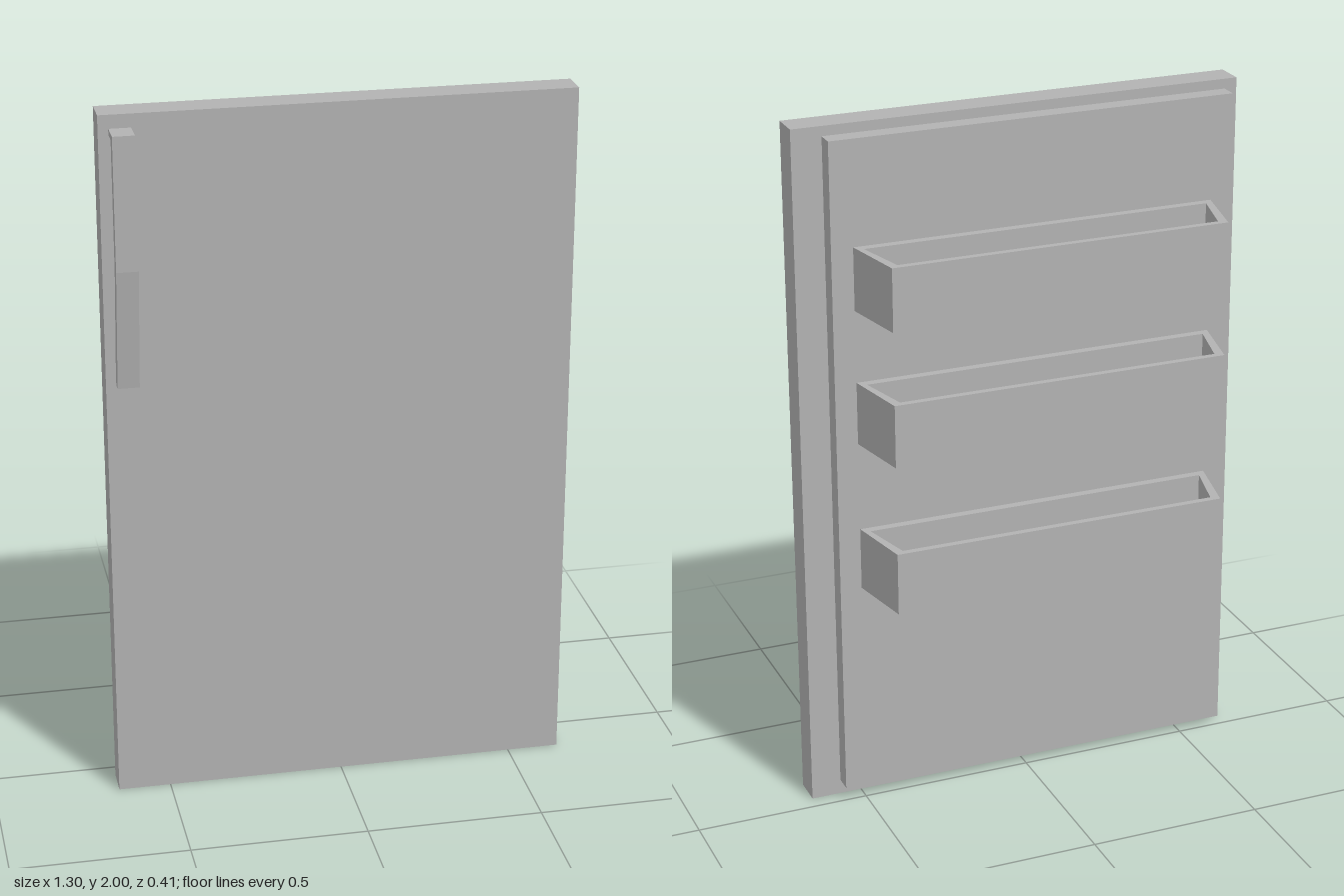
import * as THREE from 'three';

const grey = new THREE.MeshStandardMaterial({ color: 0xb2b2b2 });
grey.name = 'grey';

function add(parent, name, geometry) {
  const mesh = new THREE.Mesh(geometry, grey);
  mesh.name = name;
  parent.add(mesh);
  return mesh;
}

// Box given by its minimum and maximum corners
function slab(x0, x1, y0, y1, z0, z1) {
  return new THREE.BoxGeometry(x1 - x0, y1 - y0, z1 - z0)
    .translate((x0 + x1) / 2, (y0 + y1) / 2, (z0 + z1) / 2);
}

const points = (list) => list.map(([x, y]) => new THREE.Vector2(x, y));
const extrude = (shape, depth) => new THREE.ExtrudeGeometry(shape, { depth, bevelEnabled: false });

// Tapered plan outlines of a bin, as x and depth behind the centre (-z)
const outer = [[-0.552, 0.007], [0.5, 0.007], [0.462, 0.203], [-0.511, 0.203]];
const inner = [[-0.527, 0.031], [0.478, 0.031], [0.44, 0.184], [-0.489, 0.184]];

// Open-topped shelf bin: floor slab plus a ring of walls
function makeBin(bottom, height) {
  const bin = new THREE.Group();
  bin.name = 'shelfBin';
  const floorThickness = 0.02;
  add(bin, 'binFloor', extrude(new THREE.Shape(points(outer)), floorThickness).rotateX(-Math.PI / 2));
  const ring = new THREE.Shape(points(outer));
  ring.holes.push(new THREE.Path(points(inner)));
  add(bin, 'binWalls', extrude(ring, height - floorThickness).rotateX(-Math.PI / 2))
    .position.y = floorThickness;
  bin.position.y = bottom;
  return bin;
}

export function createModel() {
  const door = new THREE.Group();
  door.name = 'fridgeDoor';

  // Outer door and raised inner liner
  add(door, 'doorPanel', slab(-0.648, 0.648, 0, 2, 0.044, 0.131));
  add(door, 'innerLiner', slab(-0.612, 0.562, 0.043, 1.972, -0.007, 0.044));

  // Three bins on the back
  for (const bottom of [0.67, 1.106, 1.493]) door.add(makeBin(bottom, 0.18));

  // Bent handle: side profile in (z, y), swept across its width
  const profile = new THREE.Shape(points([
    [0.131, 1.244], [0.157, 1.244], [0.203, 1.59], [0.203, 1.962],
    [0.131, 1.962], [0.131, 1.945], [0.174, 1.945], [0.174, 1.585], [0.131, 1.29],
  ]));
  add(door, 'handle', extrude(profile, 0.06).rotateY(-Math.PI / 2)).position.x = -0.56;

  return door;
}
